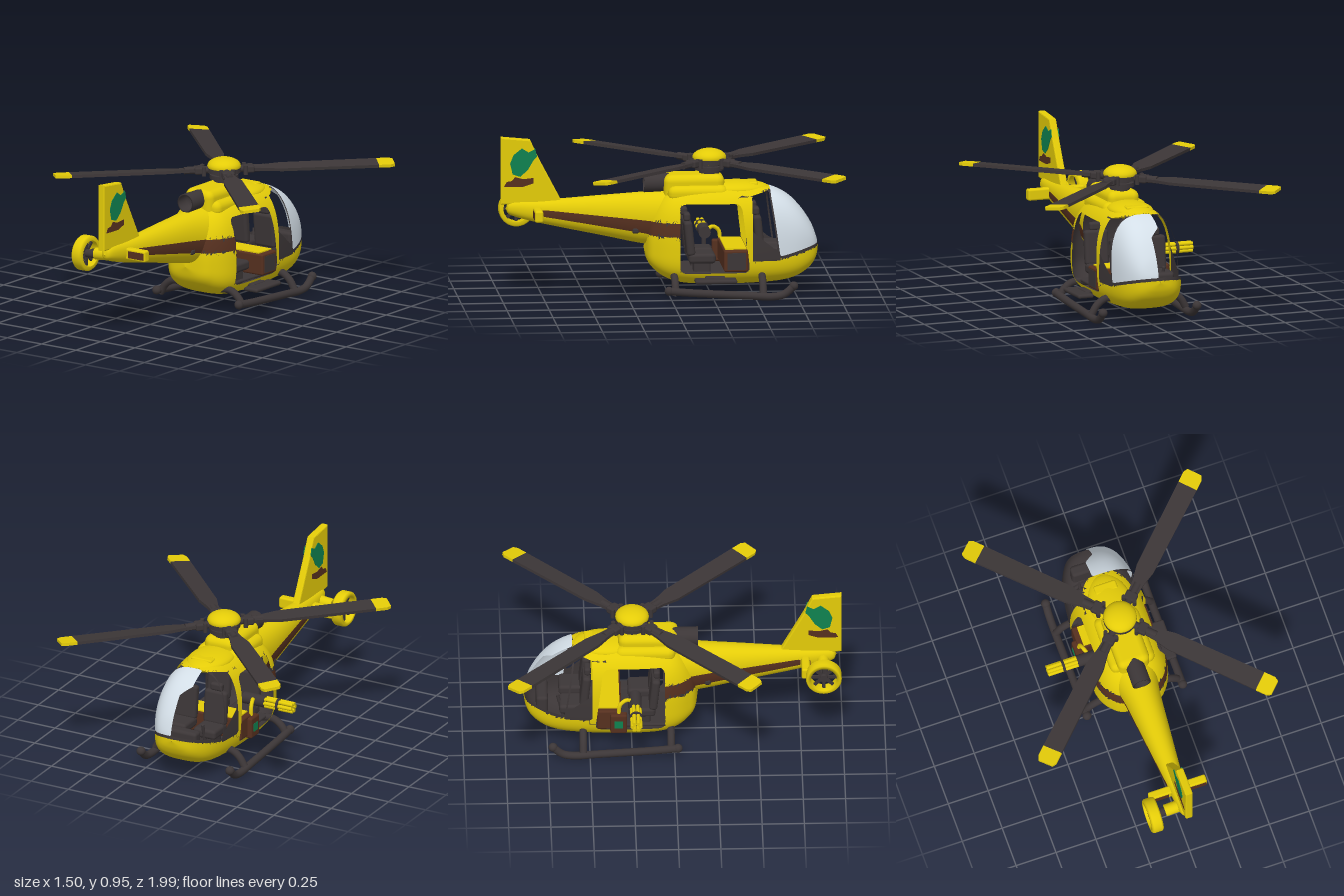
import * as THREE from 'three';
import { RoundedBoxGeometry } from 'three/addons/geometries/RoundedBoxGeometry.js';

const material = (name, color, side = THREE.FrontSide) => {
  const m = new THREE.MeshStandardMaterial({ color, side });
  m.name = name;
  return m;
};
const yellow = material('yellow paint', 0xe4cc08);
const dark = material('dark grey', 0x3c3637, THREE.DoubleSide);
const brown = material('brown', 0x56301f);
const glass = material('pale glass', 0xd6e1ea, THREE.DoubleSide);
const green = material('green', 0x0f8250);
const paints = [yellow, brown, dark, glass];
const YELLOW = 0, BROWN = 1, DARK = 2, GLASS = 3, HOLE = -1;

const V = (x, y, z) => new THREE.Vector3(x, y, z);
const { max, min, abs, hypot, PI } = Math;

function add(parent, name, geo, mat, x = 0, y = 0, z = 0) {
  const mesh = new THREE.Mesh(geo, mat);
  mesh.name = name;
  mesh.position.set(x, y, z);
  parent.add(mesh);
  return mesh;
}
const box = (w, h, d, r = 0.012) => new RoundedBoxGeometry(w, h, d, 2, min(r, w / 2.1, h / 2.1, d / 2.1));

function rod(parent, name, a, b, r, mat) {
  const mesh = add(parent, name, new THREE.CylinderGeometry(r, r, a.distanceTo(b), 20), mat);
  mesh.position.copy(a).lerp(b, 0.5);
  mesh.quaternion.setFromUnitVectors(V(0, 1, 0), b.clone().sub(a).normalize());
}

// Flat outline given as (z, y) points, extruded across x
function sidePlate(points, thick, bevel = 0) {
  const shape = new THREE.Shape(points.map(p => new THREE.Vector2(...p)));
  const geo = new THREE.ExtrudeGeometry(shape, {
    depth: thick, bevelEnabled: bevel > 0, bevelSize: bevel, bevelThickness: bevel, bevelOffset: -bevel, bevelSegments: 2,
  });
  return geo.translate(0, 0, -thick / 2).rotateY(-PI / 2);
}

// Keeps the part of a polygon where sign * f is negative
function clip(poly, f, sign) {
  const out = [];
  poly.forEach((a, i) => {
    const b = poly[(i + 1) % poly.length], da = sign * f(...a), db = sign * f(...b);
    if (da <= 0) out.push(a);
    if (da * db < 0) out.push(a.map((v, k) => v + (b[k] - v) * da / (da - db)));
  });
  return out;
}

// Skin through stations [z, bottom, top, halfWidth, centreY]; regions [f, paint] are cut out cleanly where f < 0
function loft(stations, rows, cols, nTop, nBottom, base, regions, inside = false) {
  const heights = new THREE.CatmullRomCurve3(stations.map(s => V(s[0], s[1], s[2])), false, 'catmullrom');
  const widths = new THREE.CatmullRomCurve3(stations.map(s => V(s[3], s[4], 0)), false, 'catmullrom');
  const pos = [], index = [], buckets = paints.map(() => []);
  for (let i = 0; i <= rows; i++) {
    const h = heights.getPoint(i / rows), w = widths.getPoint(i / rows);
    for (let j = 0; j < cols; j++) {
      const a = j / cols * PI * 2, c = Math.cos(a), s = Math.sin(a), n = s > 0 ? nTop : nBottom;
      const r = (abs(c) ** n + abs(s) ** n) ** (-1 / n);
      pos.push(w.x * r * c, w.y + r * s * (s > 0 ? h.z - w.y : w.y - h.y), h.x);
      const p = i * cols + j, q = i * cols + (j + 1) % cols;
      if (i < rows) index.push(...(inside ? [p, p + cols, q, q, p + cols, q + cols] : [p, q, p + cols, q, q + cols, p + cols]));
    }
  }
  const skin = new THREE.BufferGeometry();
  skin.setAttribute('position', new THREE.Float32BufferAttribute(pos, 3));
  skin.setIndex(index);
  skin.computeVertexNormals();
  const normal = skin.attributes.normal.array;
  const fill = (poly, k) => {
    for (let i = 2; i < poly.length; i++) buckets[k].push(poly[0], poly[i - 1], poly[i]);
  };
  for (let t = 0; t < index.length; t += 3) {
    let poly = index.slice(t, t + 3).map(v => [...pos.slice(v * 3, v * 3 + 3), ...normal.slice(v * 3, v * 3 + 3)]);
    for (const [f, k] of regions) {
      if (k !== HOLE) fill(clip(poly, f, 1), k);
      poly = clip(poly, f, -1);
    }
    fill(poly, base);
  }
  const geo = new THREE.BufferGeometry(), verts = buckets.flat();
  geo.setAttribute('position', new THREE.Float32BufferAttribute(verts.flatMap(v => v.slice(0, 3)), 3));
  geo.setAttribute('normal', new THREE.Float32BufferAttribute(verts.flatMap(v => v.slice(3)), 3));
  let start = 0;
  buckets.forEach((b, k) => { if (b.length) geo.addGroup(start, b.length, k); start += b.length; });
  return geo;
}

// Cabin regions: windscreen and its lower trim, raked side door, cockpit side window and its door panel
const screenEdge = y => -0.6 - max(0, 0.6 - y) * 0.14;
const screen = rise => (x, y, z) => max(z - screenEdge(y), 0.235 + rise + max(0, -0.67 - z) * 0.26 - y);
const upperScreen = screen(0.018);
const paneEdge = z => -0.05 + 0.06 * min(1, max(0, (-0.72 - z) / 0.05));
const pane = (x, y, z) => max(upperScreen(x, y, z), paneEdge(z) - x);
const door = (x, y, z) => {
  const front = -0.42 - (0.57 - y) * 0.12, middle = (front - 0.055) / 2, half = (-0.055 - front) / 2;
  const rx = abs(z - middle) - half + 0.035, ry = abs(y - 0.36) - 0.17;
  return hypot(max(0, rx), max(0, ry)) + min(0, max(rx, ry)) - 0.035;
};
const panel = (x, y, z) => max(z + 0.485, screenEdge(y) - z, 0.225 - y, y - 0.605 + (z + 0.485) * 0.25);
const sideWindow = (x, y, z) => max(panel(x, y, z), 0.4 + (z + 0.485) * 0.8 - y, screenEdge(y) + 0.01 - z);
const cabinBand = (x, y, z) => max(-0.06 - z, abs(y - 0.415) - 0.04);
const pillar = (x, y, z) => max(abs(z + 0.45) - 0.05, abs(y - 0.4) - 0.2);
const boomStripe = (x, y, z) => {
  const t = (z - 0.14) / 0.61;
  return max((t - 1) * 0.61, 0.38 + t * 0.103 - y, y - 0.46 - t * 0.063);
};

function seat(parent, x, y, z) {
  const g = new THREE.Group();
  g.name = 'seat';
  add(g, 'seatCushion', box(0.15, 0.06, 0.16, 0.02), dark);
  add(g, 'seatBack', box(0.15, 0.21, 0.05, 0.02), dark, 0, 0.12, 0.075).rotation.x = 0.1;
  add(g, 'headrest', box(0.08, 0.05, 0.04, 0.015), dark, 0, 0.245, 0.088);
  add(g, 'seatBase', box(0.1, 0.07, 0.1), dark, 0, -0.055, 0);
  g.position.set(x, y, z);
  parent.add(g);
}

export function createModel() {
  const model = new THREE.Group();
  model.name = 'helicopter';

  // Cabin and tail boom
  const cabin = [
    [-0.89, 0.279, 0.281, 0.001, 0.28], [-0.875, 0.22, 0.345, 0.085, 0.28], [-0.84, 0.165, 0.43, 0.135, 0.28],
    [-0.77, 0.115, 0.53, 0.178, 0.28], [-0.68, 0.087, 0.605, 0.205, 0.28], [-0.56, 0.075, 0.65, 0.222, 0.28],
    [-0.4, 0.07, 0.662, 0.235, 0.28], [-0.22, 0.07, 0.66, 0.238, 0.28], [-0.08, 0.08, 0.645, 0.232, 0.28],
    [0.01, 0.105, 0.62, 0.212, 0.28], [0.08, 0.15, 0.55, 0.17, 0.28], [0.125, 0.205, 0.44, 0.115, 0.28], [0.145, 0.279, 0.281, 0.001, 0.28],
  ];
  add(model, 'cabinShell', loft(cabin, 96, 96, 2.7, 3.2, YELLOW, [[pane, GLASS], [upperScreen, HOLE], [screen(0), DARK],
    [door, HOLE], [sideWindow, HOLE], [panel, DARK], [cabinBand, BROWN]]), paints);
  add(model, 'cabinLining', loft(cabin, 96, 96, 2.7, 3.2, DARK, [[upperScreen, HOLE], [door, HOLE], [sideWindow, HOLE],
    [panel, DARK], [pillar, YELLOW]], true), paints);
  add(model, 'tailBoom', loft([
    [-0.03, 0.3, 0.63, 0.15, 0.46], [0.14, 0.305, 0.615, 0.112, 0.46], [0.4, 0.36, 0.598, 0.085, 0.48],
    [0.75, 0.435, 0.575, 0.052, 0.505], [0.93, 0.485, 0.57, 0.036, 0.525], [0.965, 0.524, 0.526, 0.001, 0.525],
  ], 50, 64, 2.2, 2.2, YELLOW, [[boomStripe, BROWN]]), paints);
  for (const s of [-1, 1]) add(model, 'boomPort', box(0.03, 0.035, 0.04), dark, s * 0.088, 0.397, 0.2);

  // Engine cowling, roof intake and exhaust
  add(model, 'engineCowling', box(0.2, 0.17, 0.36, 0.045), yellow, 0, 0.64, -0.15);
  add(model, 'cowlingShoulder', box(0.28, 0.1, 0.36, 0.045), yellow, 0, 0.615, -0.17);
  const ridge = add(model, 'roofRidge', new THREE.SphereGeometry(1, 32, 16), yellow, 0, 0.63, -0.4);
  ridge.scale.set(0.13, 0.048, 0.2);
  add(model, 'roofIntake', box(0.14, 0.025, 0.06), yellow, 0, 0.66, -0.5);
  const exhaust = [[0, 0.06], [0.046, 0.06], [0.048, 0.14], [0.057, 0.14], [0.055, -0.02]].map(p => new THREE.Vector2(...p));
  add(model, 'exhaust', new THREE.LatheGeometry(exhaust, 32).rotateX(PI / 2), dark, 0, 0.668, 0.005);

  // Tail fin with painted patches
  add(model, 'tailFin', sidePlate([[0.995, 0.957], [0.82, 0.94], [0.77, 0.83], [0.636, 0.575], [0.68, 0.54], [0.995, 0.555]], 0.03, 0.008), yellow);
  const leaf = [[0.94, 0.8], [0.92, 0.85], [0.87, 0.89], [0.83, 0.865], [0.79, 0.885], [0.78, 0.84], [0.8, 0.82], [0.835, 0.76], [0.88, 0.72], [0.925, 0.735]];
  const scuff = [[0.975, 0.662], [0.96, 0.69], [0.93, 0.695], [0.91, 0.718], [0.86, 0.705], [0.8, 0.712], [0.8, 0.68], [0.86, 0.66]];
  for (const s of [-1, 1]) {
    add(model, 'greenPatch', sidePlate(leaf, 0.004), green, s * 0.024);
    add(model, 'brownPatch', sidePlate(scuff, 0.004), brown, s * 0.024);
  }

  // Stabiliser and ducted tail fan
  add(model, 'stabiliser', box(0.36, 0.07, 0.05), yellow, 0, 0.503, 0.78);
  for (const s of [-1, 1]) add(model, 'stabiliserPanel', new THREE.BoxGeometry(0.11, 0.042, 0.006), brown, s * 0.117, 0.503, 0.805);
  const duct = [[0.078, -0.035], [0.098, -0.035], [0.106, -0.025], [0.106, 0.025], [0.098, 0.035], [0.078, 0.035], [0.078, -0.035]];
  const fan = new THREE.Group();
  fan.name = 'tailFan';
  fan.position.set(-0.19, 0.493, 0.885);
  model.add(fan);
  add(fan, 'fanDuct', new THREE.LatheGeometry(duct.map(p => new THREE.Vector2(...p)), 40).rotateZ(PI / 2), yellow);
  rod(fan, 'fanHub', V(-0.025, 0, 0), V(0.06, 0, 0), 0.024, dark);
  for (let i = 0; i < 8; i++)
    add(fan, 'fanBlade', new THREE.BoxGeometry(0.012, 0.08, 0.018).translate(0, 0.042, 0), dark).rotation.x = i * PI / 4;
  rod(model, 'fanShaft', V(-0.14, 0.495, 0.885), V(-0.09, 0.495, 0.885), 0.026, dark);
  rod(model, 'fanGearbox', V(-0.115, 0.5, 0.885), V(0, 0.51, 0.885), 0.036, yellow);

  // Main rotor
  const rotor = new THREE.Group();
  rotor.name = 'mainRotor';
  rotor.position.set(0, 0.797, -0.245);
  model.add(rotor);
  rod(rotor, 'mast', V(0, -0.12, 0), V(0, 0.01, 0), 0.06, dark);
  rod(rotor, 'swashPlate', V(0, -0.055, 0), V(0, -0.03, 0), 0.085, dark);
  rod(rotor, 'hubPlate', V(0, -0.015, 0), V(0, 0.012, 0), 0.1, dark);
  add(rotor, 'hubCap', new THREE.SphereGeometry(0.1, 32, 16), yellow, 0, 0.02, 0).scale.y = 0.53;
  const flat = pts => {
    const shape = new THREE.Shape(pts.map(p => new THREE.Vector2(...p)));
    return new THREE.ExtrudeGeometry(shape, { depth: 0.018, bevelEnabled: false }).translate(0, 0, -0.009).rotateX(-PI / 2 + 0.1);
  };
  for (let i = 0; i < 4; i++) {
    const arm = new THREE.Group();
    arm.name = 'rotorArm';
    arm.rotation.y = PI / 4 + i * PI / 2;
    rotor.add(arm);
    rod(arm, 'bladeGrip', V(0.07, 0, 0), V(0.24, 0, 0), 0.022, dark);
    add(arm, 'bladeCuff', box(0.06, 0.045, 0.075), dark, 0.15, 0, 0);
    for (const s of [-1, 1]) rod(arm, 'pitchLink', V(0.125, -0.03, s * 0.035), V(0.125, 0.025, s * 0.035), 0.013, dark);
    add(arm, 'blade', flat([[0.18, -0.03], [0.24, -0.035], [0.34, -0.055], [0.92, -0.06], [0.92, 0.06], [0.34, 0.055], [0.24, 0.035], [0.18, 0.03]]), dark);
    add(arm, 'bladeTip', flat([[0.92, -0.06], [0.99, -0.06], [1.016, -0.046], [1.016, 0.046], [0.99, 0.06], [0.92, 0.06]]), yellow);
  }

  // Landing skids, struts and door step
  for (const s of [-1, 1]) {
    const path = new THREE.CatmullRomCurve3([V(s * 0.3, 0.068, 0.02), V(s * 0.3, 0.056, -0.1), V(s * 0.3, 0.034, -0.45),
      V(s * 0.3, 0.026, -0.6), V(s * 0.3, 0.04, -0.665), V(s * 0.3, 0.088, -0.72)]);
    add(model, 'skid', new THREE.TubeGeometry(path, 40, 0.023, 14), dark);
    for (const p of [path.getPoint(0), path.getPoint(1)]) add(model, 'skidEnd', new THREE.SphereGeometry(0.027, 16, 10), dark, p.x, p.y, p.z);
    for (const z of [-0.02, -0.54]) {
      const strut = new THREE.CatmullRomCurve3([V(s * 0.12, 0.13, z), V(s * 0.21, 0.135, z), V(s * 0.265, 0.1, z), V(s * 0.3, 0.045, z)]);
      add(model, 'skidStrut', new THREE.TubeGeometry(strut, 16, 0.022, 12), dark);
    }
  }
  add(model, 'doorStep', box(0.1, 0.025, 0.25), dark, 0.27, 0.12, -0.26);
  add(model, 'stepBracket', box(0.1, 0.02, 0.12), dark, 0.2, 0.13, -0.26);

  // Cabin interior
  add(model, 'floor', box(0.34, 0.02, 0.64), dark, 0, 0.145, -0.33);
  for (const s of [-1, 1]) {
    seat(model, s * 0.1, 0.235, -0.19);
    seat(model, s * 0.1, 0.265, -0.6);
  }
  add(model, 'storageBox', box(0.465, 0.13, 0.145), brown, 0, 0.228, -0.385);
  add(model, 'storageBoxFront', new THREE.BoxGeometry(0.006, 0.1, 0.11), dark, 0.232, 0.228, -0.387);
  add(model, 'storageBoxLid', new THREE.BoxGeometry(0.4, 0.008, 0.125), yellow, 0, 0.296, -0.385);
  add(model, 'instrumentPanel', box(0.24, 0.13, 0.07, 0.02), dark, 0, 0.255, -0.78);
  rod(model, 'controlStick', V(-0.1, 0.16, -0.65), V(-0.1, 0.33, -0.69), 0.01, dark);

  // Door mounted rotary gun with its ammunition belt
  rod(model, 'gunPost', V(-0.19, 0.15, -0.23), V(-0.19, 0.33, -0.23), 0.014, dark);
  rod(model, 'gunBody', V(-0.13, 0.338, -0.23), V(-0.275, 0.338, -0.23), 0.036, dark);
  for (let i = 0; i < 6; i++) {
    const a = i * PI / 3, y = 0.338 + 0.024 * Math.sin(a), z = -0.23 + 0.024 * Math.cos(a);
    rod(model, 'gunBarrel', V(-0.26, y, z), V(-0.462, y, z), 0.0115, yellow);
  }
  rod(model, 'barrelClamp', V(-0.355, 0.338, -0.23), V(-0.37, 0.338, -0.23), 0.039, dark);
  add(model, 'ammunitionBox', box(0.05, 0.13, 0.1), brown, -0.235, 0.215, -0.33);
  add(model, 'boxLabel', new THREE.BoxGeometry(0.004, 0.05, 0.05), green, -0.261, 0.215, -0.33);
  const belt = new THREE.CatmullRomCurve3([V(-0.2, 0.345, -0.25), V(-0.215, 0.36, -0.285), V(-0.225, 0.335, -0.32), V(-0.228, 0.27, -0.33)]);
  add(model, 'ammunitionBelt', new THREE.TubeGeometry(belt, 20, 0.012, 10), yellow);
  return model;
}
